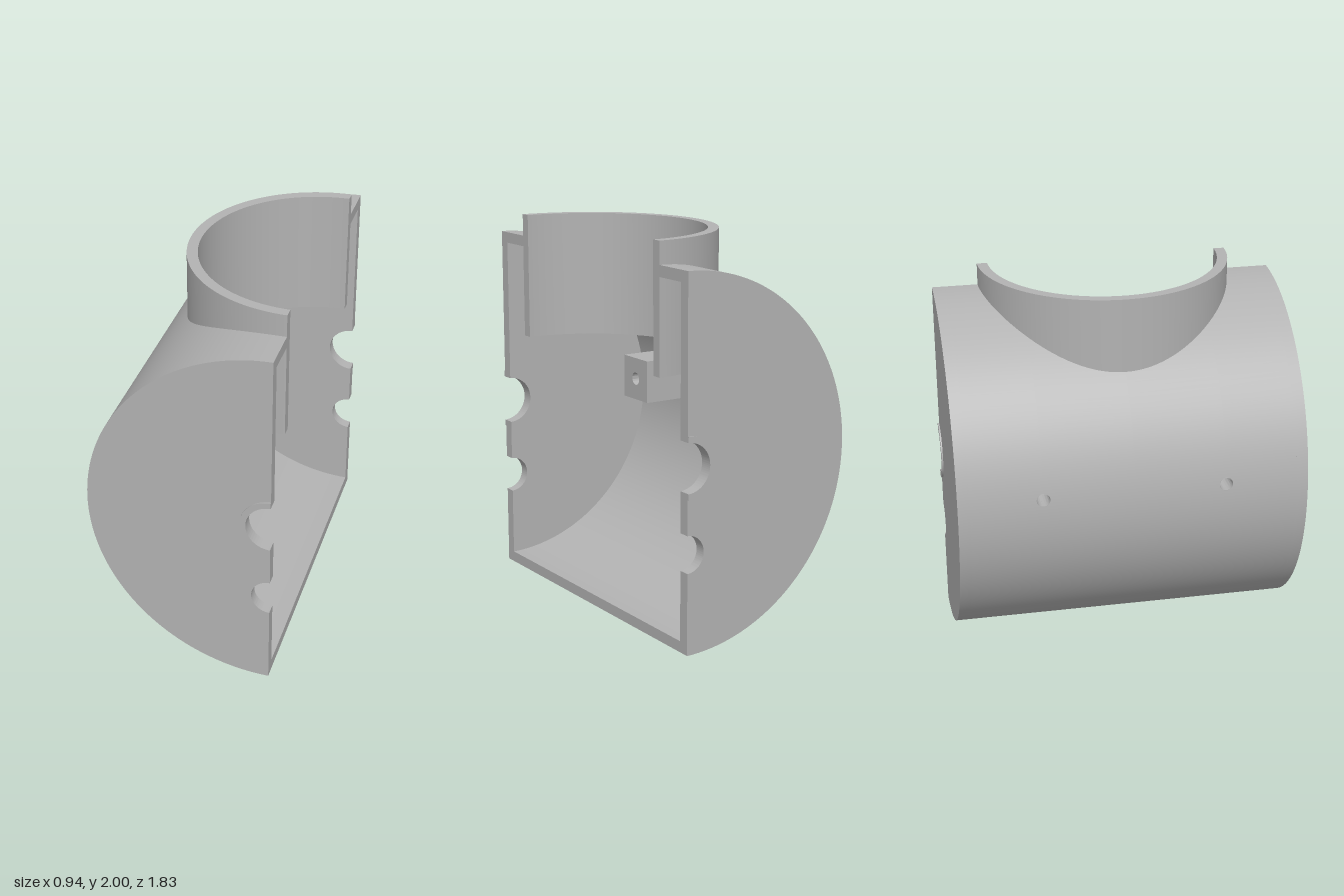
import * as THREE from 'three';
import { toCreasedNormals } from 'three/addons/utils/BufferGeometryUtils.js';

const R = 0.9425, RI = 0.885;            // drum radii
const CX = 0.471, CY = 0.9425;           // drum axis, lying on the open face
const Z_IN = 0.845, Z_OUT = 0.905;       // end wall faces
const COLLAR = 0.665, COLLAR_IN = 0.61;  // upright collar radii
const HOLE_Y = 1.063, HOLE_Z = 0.472, HOLE_R = 0.035;
const H = Math.PI / 2;

const grey = new THREE.MeshStandardMaterial({ color: 0xb2b2b2, side: THREE.DoubleSide });
grey.name = 'grey';

function extrude(shape, depth) {
  const g = new THREE.ExtrudeGeometry(shape, { depth, bevelEnabled: false, curveSegments: 64 });
  return toCreasedNormals(g, 0.5);
}

// Half ring opening towards +x
function halfRing(cx, cy, outer, inner) {
  const s = new THREE.Shape();
  s.absarc(cx, cy, outer, H, 3 * H, false);
  s.absarc(cx, cy, inner, 3 * H, H, true);
  s.closePath();
  return s;
}

// Half cylinder skin, trimmed round the collar and the two pin holes.
// face = 1 looks outwards, -1 looks inwards.
function skin(r, face) {
  const rows = [];
  const low = Math.asin((HOLE_Y - HOLE_R - CY) / r);
  const high = Math.asin((HOLE_Y + HOLE_R - CY) / r);
  const meet = Math.acos(COLLAR / r);
  for (let i = 0; i < 48; i++) rows.push({ a: -H + (low + H) * i / 48, w: 0, zc: 0 });
  for (let i = 0; i <= 16; i++) {
    const t = Math.PI * i / 16;
    rows.push({ a: Math.asin((HOLE_Y - HOLE_R * Math.cos(t) - CY) / r), w: HOLE_R * Math.sin(t), zc: 0 });
  }
  for (let i = 1; i < 20; i++) rows.push({ a: high + (meet - high) * i / 20, w: 0, zc: 0 });
  for (let i = 0; i <= 48; i++) {
    const t = H * i / 48;
    rows.push({ a: Math.acos(COLLAR * Math.cos(t) / r), w: 0, zc: COLLAR * Math.sin(t) });
  }
  const pos = [], nor = [], idx = [];
  for (const side of [1, -1]) {
    const base = pos.length / 3;
    rows.forEach(({ a, w, zc }, i) => {
      const mid = Math.max(zc, HOLE_Z);
      const c = Math.cos(a), s = Math.sin(a);
      for (const z of [zc, mid - w, mid + w, Z_IN]) {
        pos.push(CX - r * c, CY + r * s, side * z);
        nor.push(-c * face, s * face, 0);
      }
      if (i === rows.length - 1) return;
      for (const k of [0, 2]) {
        const p = base + i * 4 + k, q = p + 1, u = p + 4, v = p + 5;
        if (side * face > 0) idx.push(p, q, v, p, v, u);
        else idx.push(p, v, q, p, u, v);
      }
    });
  }
  const g = new THREE.BufferGeometry();
  g.setAttribute('position', new THREE.Float32BufferAttribute(pos, 3));
  g.setAttribute('normal', new THREE.Float32BufferAttribute(nor, 3));
  g.setIndex(idx);
  return g;
}

export function createModel() {
  const model = new THREE.Group();
  model.name = 'halfDrumHousing';
  const add = (name, geometry, x = 0, y = 0, z = 0) => {
    const m = new THREE.Mesh(geometry, grey);
    m.name = name;
    m.position.set(x, y, z);
    model.add(m);
    return m;
  };

  // Drum skins
  add('outerShell', skin(R, 1));
  add('innerShell', skin(RI, -1));

  // Cut rims of the shell on the open face
  const rim = (name, width, y, z) =>
    add(name, new THREE.PlaneGeometry(width, R - RI).rotateY(H), CX, y, z);
  rim('bottomRim', 2 * Z_IN, (R - RI) / 2, 0);

  // End wall with a bearing notch and a smaller notch
  const wall = new THREE.Shape();
  wall.moveTo(CX, 0);
  wall.absarc(CX, 0.514, 0.095, -H, H, true);
  wall.absarc(CX, 0.944, 0.125, -H, H, true);
  wall.lineTo(CX, 2 * R);
  wall.absarc(CX, CY, R, H, 3 * H, false);
  const wallGeo = extrude(wall, Z_OUT - Z_IN);
  const lipGeo = extrude(halfRing(CX, 0.944, 0.157, 0.125), 0.008);

  // Mounting block with a pin hole
  const square = new THREE.Shape();
  const b = 0.1175;
  square.moveTo(-b, -b).lineTo(b, -b).lineTo(b, b).lineTo(-b, b).closePath();
  const hole = new THREE.Path();
  hole.absarc(0, 0, HOLE_R, 0, Math.PI * 2, true);
  square.holes.push(hole);
  const blockGeo = extrude(square, 0.31).rotateY(H);
  const liningGeo = new THREE.CylinderGeometry(HOLE_R, HOLE_R, 0.034, 32, 1, true).rotateZ(H);

  for (const s of [1, -1]) {
    const n = s > 0 ? 'front' : 'back';
    add(n + 'EndWall', wallGeo, 0, 0, s > 0 ? Z_IN : -Z_OUT);
    add(n + 'BearingLip', lipGeo, 0, 0, s > 0 ? Z_OUT : -Z_OUT - 0.008);
    rim(n + 'TopRim', Z_IN - COLLAR, 2 * R - (R - RI) / 2, s * (Z_IN + COLLAR) / 2);
    add(n + 'MountingBlock', blockGeo, -0.43, HOLE_Y, s * HOLE_Z);
    add(n + 'PinHoleLining', liningGeo, -0.447, HOLE_Y, s * HOLE_Z);
  }

  // Upright half collar
  add('collar', extrude(halfRing(0, 0, COLLAR, COLLAR_IN), 0.66).rotateX(-H), CX, 1.34, 0);

  return model;
}
